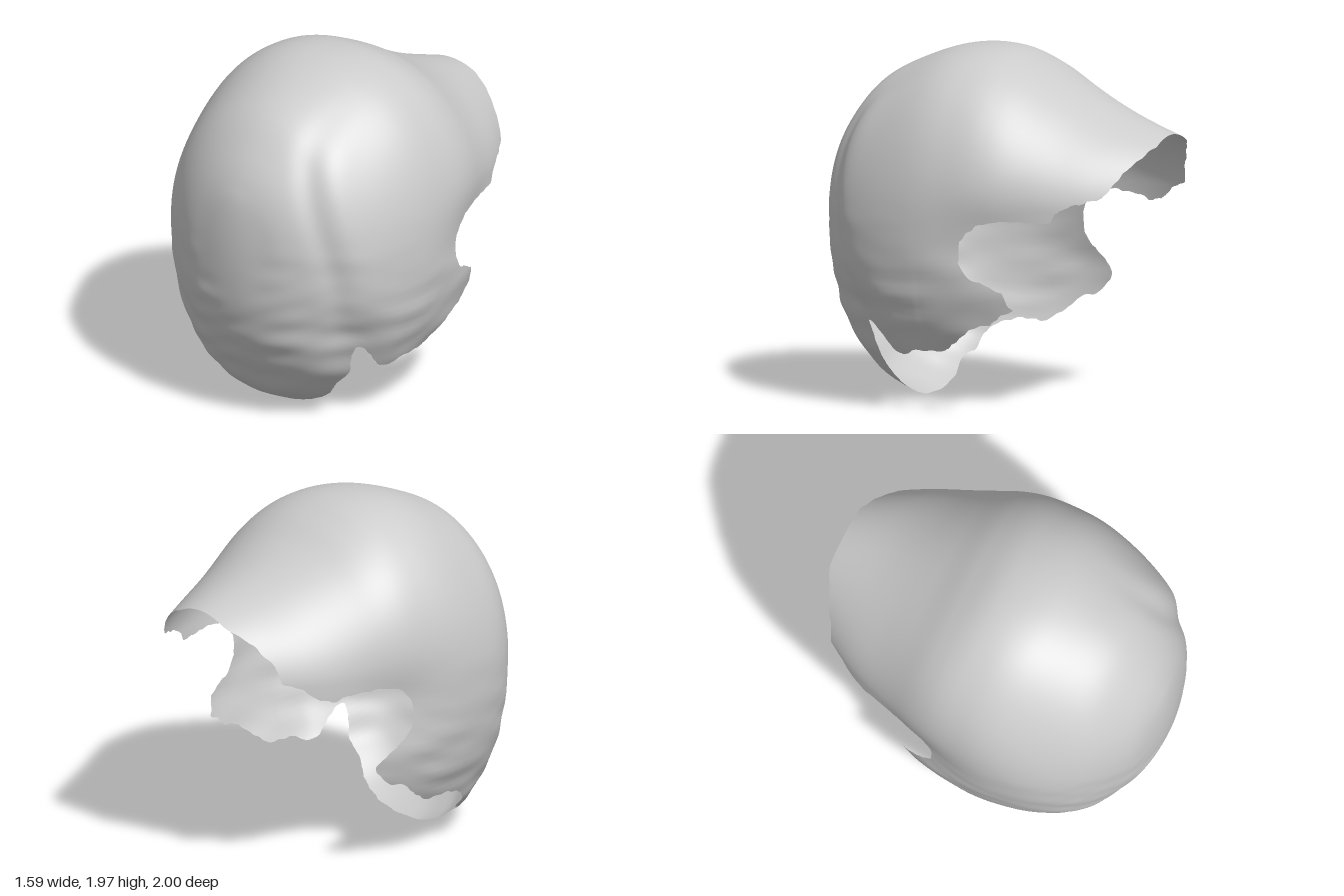
import * as THREE from 'three';

const { smoothstep, clamp } = THREE.MathUtils;

// Cross-sections from the front pole backwards: z, top, bottom, half width, height of widest point
const SECTIONS = [
  [1, 1.02, 1.02, 0, 1.02], [0.98, 1.3, 0.72, 0.17, 1.02], [0.94, 1.435, 0.54, 0.32, 1.01],
  [0.85, 1.59, 0.335, 0.475, 1.0], [0.7, 1.755, 0.12, 0.63, 1.0], [0.5, 1.865, 0, 0.735, 1.01],
  [0.25, 1.947, -0.07, 0.79, 1.04], [0, 1.952, -0.07, 0.793, 1.06], [-0.2, 1.885, -0.05, 0.763, 1.09],
  [-0.4, 1.775, 0, 0.69, 1.13], [-0.7, 1.625, 0.2, 0.567, 1.14], [-1, 1.52, 0.45, 0.4, 1.14],
];

// Open edge of each side as (z, y), from the nape flap round the ear to the far rim
const TAB = [[0.08, 0.33], [-0.02, 0.4], [-0.12, 0.48], [-0.22, 0.5], [-0.27, 0.55]];
const RIM = [[-0.86, 1.28], [-0.92, 1.38], [-0.985, 1.46], [-1.02, 1.5], [-1.3, 1.55], [-1.3, -0.6], [0.49, -0.6]];
const LEFT_CUT = [[0.48, 0.02], [0.51, 0.1], [0.54, 0.18], [0.55, 0.3], [0.585, 0.47], [0.55, 0.46], [0.47, 0.38],
  [0.41, 0.31], [0.33, 0.29], [0.28, 0.325], ...TAB, [-0.36, 0.585], [-0.31, 0.62], [-0.32, 0.67], [-0.22, 0.72],
  [-0.12, 0.76], [-0.07, 0.84], [-0.065, 0.95], [-0.1, 1.0], [-0.17, 1.06], [-0.3, 1.085],
  [-0.57, 1.08], [-0.58, 1.13], [-0.65, 1.17], [-0.82, 1.22], ...RIM];
const RIGHT_CUT = [[0.48, 0.02], [0.47, 0.05], [0.5, 0.13], [0.44, 0.17], [0.43, 0.25], [0.38, 0.3], [0.25, 0.34],
  ...TAB, [-0.32, 0.6], [-0.27, 0.67], [-0.16, 0.75], [-0.1, 0.82], [-0.095, 0.95], [-0.12, 1.0], [-0.18, 1.06],
  [-0.3, 1.085], [-0.5, 1.07], [-0.57, 1.045], [-0.66, 1.07], [-0.75, 1.15], [-0.84, 1.18], ...RIM];

// Signed distance to a polygon, negative inside
function polygonDistance(poly, px, py) {
  let best = Infinity, inside = false;
  poly.forEach(([ax, ay], i) => {
    const [bx, by] = poly[(i + 1) % poly.length];
    const dx = bx - ax, dy = by - ay;
    const t = clamp(((px - ax) * dx + (py - ay) * dy) / (dx * dx + dy * dy), 0, 1);
    best = Math.min(best, Math.hypot(px - ax - t * dx, py - ay - t * dy));
    if ((ay > py) !== (by > py) && px < ax + (dx * (py - ay)) / dy) inside = !inside;
  });
  return inside ? -best : best;
}

// Soft folds, hollows at the ears, the long furrow on the left of the front and the hollow below it
function relief(x, y, z) {
  const low = smoothstep(1.25 - y, 0, 0.8);
  const wave = Math.sin(27 * y + 6 * x + 2 * Math.sin(4 * x + 3 * z)) * Math.sin(3.5 * x + 4 * z + 6 * y);
  const fine = Math.sin(46 * y - 12 * x + 3 * Math.sin(5 * z)) * Math.sin(7 * x - 5 * z + 1);
  let h = low * (0.005 * wave + 0.003 * fine) + 0.004 * Math.sin(6 * x + 2 * z) * Math.sin(5 * y + 4 * z);
  h -= 0.04 * Math.exp(-((z + 0.2) ** 2) / 0.06 - ((y - 0.95) ** 2) / 0.04);
  if (x > 0 && z > 0.2) {
    const d = x - 0.3 - 0.27 * smoothstep(1.9 - y, 0, 1.1);
    const fade = smoothstep(y, 0.3, 0.9) * (1 - smoothstep(y, 1.5, 1.85));
    h += fade * (0.008 * Math.exp(-((d - 0.1) ** 2) / 0.005) - 0.016 * Math.exp(-(d * d) / 0.004));
    h -= 0.045 * Math.exp(-((x - 0.58) ** 2) / 0.02 - ((y - 0.47) ** 2) / 0.05) * smoothstep(z, 0.35, 0.6);
  }
  return h * smoothstep(1 - z, 0, 0.05);
}

// Full closed-round shell before its edge is cut
function buildShell(rows, cols) {
  const s = SECTIONS.map((r) => Math.sqrt(1 - r[0]));
  const heights = new THREE.CatmullRomCurve3(SECTIONS.map((r, i) => new THREE.Vector3(s[i], r[1], r[2])), false, 'catmullrom');
  const widths = new THREE.CatmullRomCurve3(SECTIONS.map((r, i) => new THREE.Vector3(s[i], r[3], r[4])), false, 'catmullrom');
  const pos = [], index = [];
  const soft = (v, e) => Math.sign(v) * Math.abs(v) ** e;
  for (let i = 0; i <= rows; i++) {
    const h = heights.getPoint(i / rows), w = widths.getPoint(i / rows);
    const z = 1 - h.x * h.x;
    for (let j = 0; j < cols; j++) {
      const a = (j / cols) * Math.PI * 2 - Math.PI / 2;
      // The crown is rounder towards the front and back than over the middle
      const e = 0.92 + 0.12 * smoothstep(Math.abs(z), 0.1, 0.6) * smoothstep(Math.sin(a), -0.2, 0.2);
      const up = soft(Math.sin(a), e);
      const y = w.z + up * (up > 0 ? h.y - w.z : w.z - h.z);
      // The nape leans a little to the right
      const lean = 0.045 * (1 - smoothstep(y, 0, 0.5)) * smoothstep(z, 0.25, 0.5);
      pos.push(w.y * soft(Math.cos(a), e) - lean, y, z);
      if (i < rows) {
        const p = i * cols + j, q = i * cols + ((j + 1) % cols);
        index.push(p, p + cols, q, q, p + cols, q + cols);
      }
    }
  }
  const g = new THREE.BufferGeometry();
  g.setAttribute('position', new THREE.Float32BufferAttribute(pos, 3));
  g.setIndex(index);
  const P = g.attributes.position;
  const smooth = () => {
    g.computeVertexNormals();
    for (let j = 0; j < cols; j++) g.attributes.normal.setXYZ(j, 0, 0, 1);
  };
  smooth();
  const N = g.attributes.normal;
  for (let k = 0; k < P.count; k++) {
    const d = relief(P.getX(k), P.getY(k), P.getZ(k));
    P.setXYZ(k, P.getX(k) + N.getX(k) * d, P.getY(k) + N.getY(k) * d, P.getZ(k) + N.getZ(k) * d);
  }
  smooth();
  return g;
}

// Trim every triangle along the ragged edge line
function trim(g) {
  const P = g.attributes.position, N = g.attributes.normal, verts = [];
  for (let k = 0; k < P.count; k++) {
    const p = new THREE.Vector3().fromBufferAttribute(P, k);
    const ragged = 0.006 * Math.sin(70 * p.z + 20 * p.x) * Math.sin(55 * p.y + 15 * p.x);
    const d = polygonDistance(p.x > -0.05 ? LEFT_CUT : RIGHT_CUT, p.z, p.y) + ragged;
    verts.push({ p, n: new THREE.Vector3().fromBufferAttribute(N, k), d });
  }
  const pos = [], nor = [], idx = g.index.array;
  for (let t = 0; t < idx.length; t += 3) {
    const tri = [verts[idx[t]], verts[idx[t + 1]], verts[idx[t + 2]]], kept = [];
    tri.forEach((a, i) => {
      const b = tri[(i + 1) % 3];
      if (a.d >= 0) kept.push(a);
      if ((a.d >= 0) !== (b.d >= 0)) {
        const f = a.d / (a.d - b.d);
        kept.push({ p: a.p.clone().lerp(b.p, f), n: a.n.clone().lerp(b.n, f).normalize() });
      }
    });
    for (let i = 1; i + 1 < kept.length; i++)
      for (const v of [kept[0], kept[i], kept[i + 1]]) {
        pos.push(v.p.x, v.p.y, v.p.z);
        nor.push(v.n.x, v.n.y, v.n.z);
      }
  }
  const out = new THREE.BufferGeometry();
  out.setAttribute('position', new THREE.Float32BufferAttribute(pos, 3));
  out.setAttribute('normal', new THREE.Float32BufferAttribute(nor, 3));
  return out;
}

export function createModel() {
  const group = new THREE.Group();
  group.name = 'headShell';
  const material = new THREE.MeshStandardMaterial({ color: 0xcccccc, side: THREE.DoubleSide });
  const shell = new THREE.Mesh(trim(buildShell(160, 180)), material);
  shell.name = 'shell';
  group.add(shell);
  return group;
}
